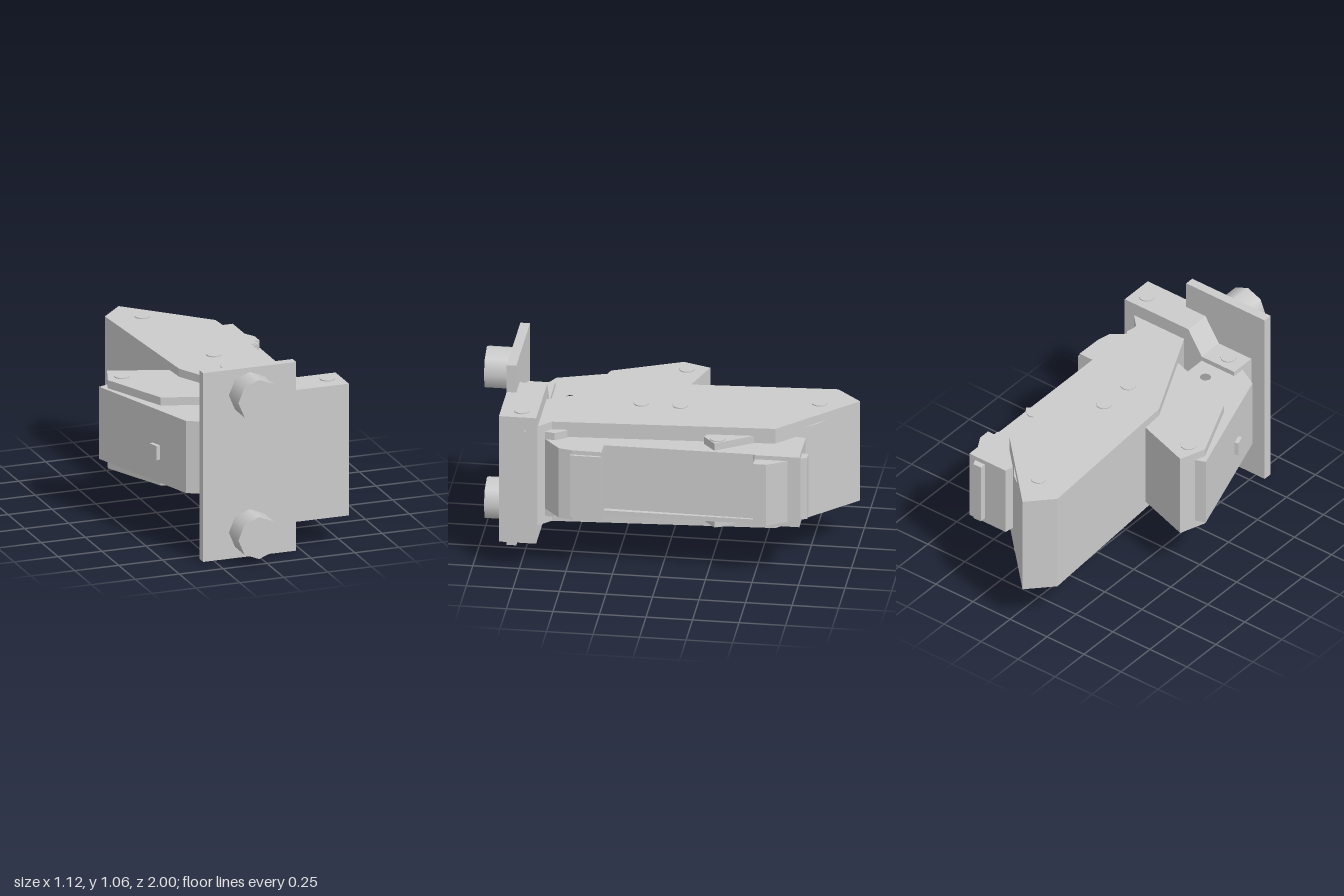
import * as THREE from 'three';

const MID = 0.532; // height of the mirror plane of most parts
const material = new THREE.MeshStandardMaterial({ color: 0xcccccc, flatShading: true });
const smooth = new THREE.MeshStandardMaterial({ color: 0xcccccc });

export function createModel() {
  const model = new THREE.Group();

  function add(name, geometry, mat = material) {
    const mesh = new THREE.Mesh(geometry, mat);
    mesh.name = name;
    model.add(mesh);
    return mesh;
  }

  // Upright prism from a plan outline of [x, z] corners
  function prism(name, plan, y0, y1, hole) {
    const shape = new THREE.Shape(plan.map(([x, z]) => new THREE.Vector2(x, -z)));
    if (hole) {
      const path = new THREE.Path();
      path.absarc(hole[0], -hole[1], hole[2], 0, Math.PI * 2, true);
      shape.holes.push(path);
    }
    const geometry = new THREE.ExtrudeGeometry(shape, { depth: y1 - y0, bevelEnabled: false, curveSegments: 8 });
    geometry.rotateX(-Math.PI / 2).translate(0, y0, 0);
    return add(name, geometry);
  }

  function box(name, x0, x1, y0, y1, z0, z1) {
    const geometry = new THREE.BoxGeometry(x1 - x0, y1 - y0, z1 - z0);
    geometry.translate((x0 + x1) / 2, (y0 + y1) / 2, (z0 + z1) / 2);
    return add(name, geometry);
  }

  // Flat pin heads on the top and bottom of a part
  function pins(name, x, z, half) {
    for (const side of [1, -1]) {
      const pin = add(name, new THREE.CylinderGeometry(0.042, 0.042, 0.02, 12), smooth);
      pin.position.set(x, MID + side * (half - 0.004), z);
    }
  }

  // Mounting plate with two octagonal knobs
  box('mountingPlate', -0.31, 0.22, 0, 1.06, 0.805, 0.857);
  for (const y of [0.147, 0.918]) {
    const knob = add('knob', new THREE.CylinderGeometry(0.118, 0.118, 0.15, 8), smooth);
    knob.rotation.x = Math.PI / 2;
    knob.position.set(-0.045, y, 0.925);
  }

  // Hinge block, stepped down towards one side
  const half = [[0.52, 0.37], [0.09, 0.37], [0, 0.23], [-0.22, 0.23]];
  const profile = [...half, ...half.slice().reverse().map(([x, y]) => [x, -y])];
  const block = new THREE.ExtrudeGeometry(
    new THREE.Shape(profile.map(([x, y]) => new THREE.Vector2(x, MID + y))),
    { depth: 0.2, bevelEnabled: false });
  add('hingeBlock', block.translate(0, 0, 0.657));
  box('blockSideRib', 0.51, 0.528, 0.24, 0.825, 0.71, 0.722);
  pins('blockPin', 0.44, 0.745, 0.37);
  pins('blockLowerPin', -0.12, 0.735, 0.23);

  // Long main arm
  prism('mainArm', [[-0.085, -1], [-0.215, -0.865], [-0.155, 0.09], [0.125, 0.67],
    [0.47, 0.67], [0.39, 0.59], [0.315, -0.6]], 0.24, 0.825);
  for (const [x, z] of [[-0.03, -0.79], [0.1, -0.06], [0.1, 0.15]]) pins('armPin', x, z, 0.293);
  prism('armEndTab', [[0.07, -0.845], [0.13, -0.8], [0.18, -0.735], [0.08, -0.735]], 0.285, 0.78);

  // Side lever: thick head over a slimmer body with a through hole
  prism('leverHead', [[-0.478, -0.14], [-0.1, -0.016], [-0.1, 0.2], [0.055, 0.52],
    [-0.37, 0.378], [-0.53, 0.008]], 0.285, 0.78);
  prism('leverBody', [[-0.565, -0.03], [-0.5, -0.055], [-0.2, 0.1], [0, 0.45], [0, 0.735],
    [-0.21, 0.735], [-0.335, 0.667]], 0.33, 0.735, [-0.105, 0.556, 0.03]);
  pins('leverPin', -0.44, -0.02, 0.248);
  const catchTab = add('leverCatch', new THREE.BoxGeometry(0.03, 0.08, 0.06));
  catchTab.position.set(-0.42, 0.5, 0.43);
  catchTab.rotation.y = 0.32;

  // Carriage beside the arm: core between two flanges
  const carriage = (inset) => [[0.215, -0.69], [0.225, -0.75], [0.47, -0.75], [0.47, -0.51],
    [0.462 - inset / 2, -0.5], [0.46 - inset, 0.302], [0.548, 0.302], [0.545, 0.46], [0.528, 0.535],
    [0.425, 0.622], [0.38, 0.56], [0.3, -0.5]];
  prism('carriageCore', carriage(0.025), 0.352, 0.716);
  prism('carriageLowerFlange', carriage(0), 0.328, 0.354);
  prism('carriageUpperFlange', carriage(0), 0.714, 0.738);

  // Raised pads and end clip on the carriage
  prism('frontPad', [[0.44, 0.305], [0.56, 0.305], [0.56, 0.47], [0.44, 0.47]], 0.354, 0.714);
  prism('rearPad', [[0.46, -0.705], [0.53, -0.58], [0.53, -0.51], [0.46, -0.51]], 0.354, 0.714);
  prism('endClip', [[0.365, -0.74], [0.365, -0.785], [0.415, -0.785], [0.435, -0.74]], 0.354, 0.714);

  // Links that join the carriage to the arm
  prism('rearLink', [[0.3, -0.52], [0.32, -0.49], [0.445, -0.29], [0.37, -0.225], [0.32, -0.24]], 0.285, 0.78);
  pins('rearLinkPin', 0.385, -0.3, 0.248);
  prism('frontLink', [[0.37, 0.5], [0.395, 0.51], [0.435, 0.57], [0.425, 0.622], [0.37, 0.58]], 0.285, 0.78);

  return model;
}
